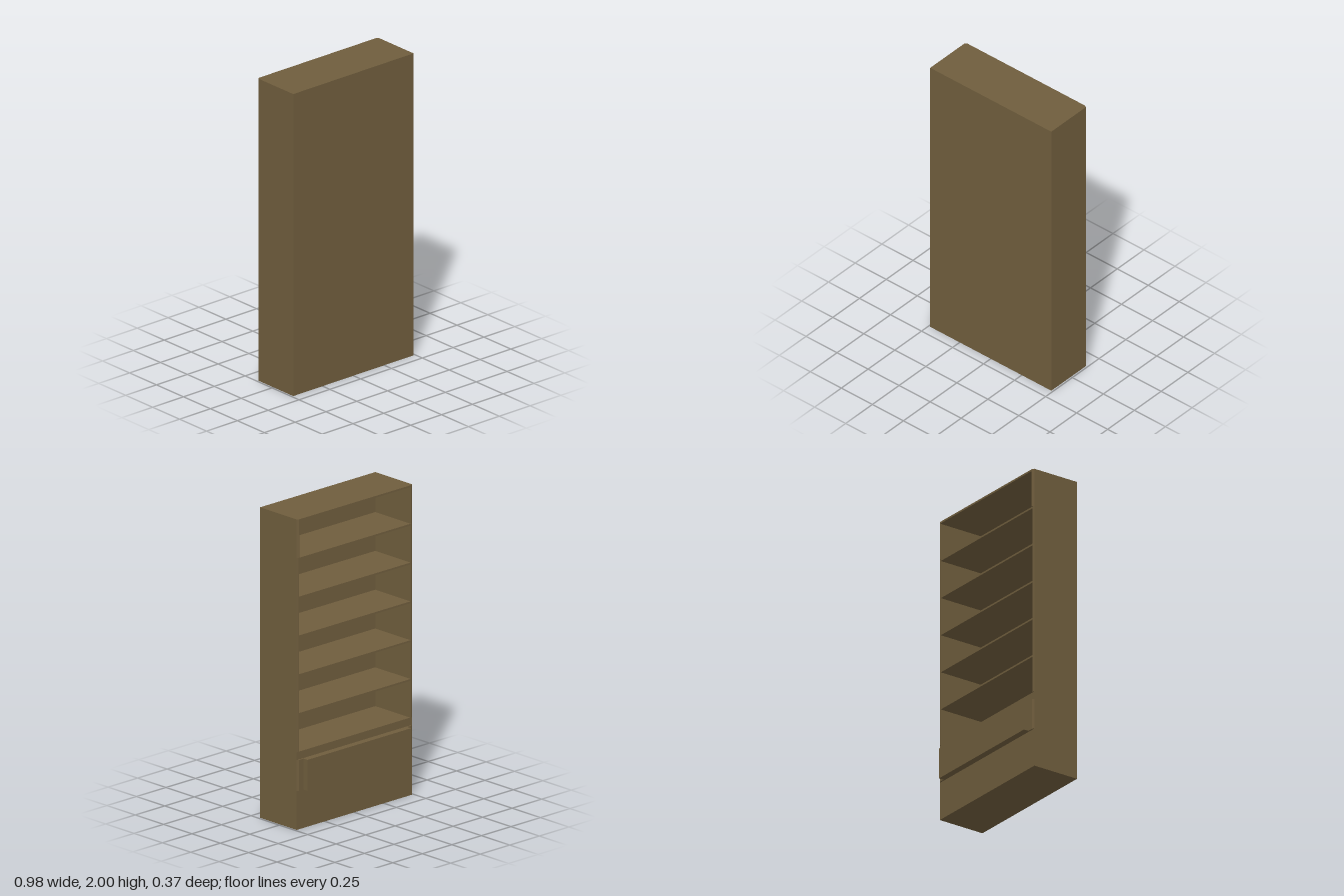
import * as THREE from 'three';

const W = 0.488, FRONT = 0.183, EDGE = -0.14, T = 0.016;

export function createModel() {
  const model = new THREE.Group();
  model.name = 'bookcase';
  const wood = new THREE.MeshStandardMaterial({ color: 0x6f5d3d });
  wood.name = 'brown wood';

  // box given by its min and max corners
  function box(name, x0, x1, y0, y1, z0, z1) {
    const mesh = new THREE.Mesh(new THREE.BoxGeometry(x1 - x0, y1 - y0, z1 - z0), wood);
    mesh.position.set((x0 + x1) / 2, (y0 + y1) / 2, (z0 + z1) / 2);
    mesh.name = name;
    model.add(mesh);
  }

  // upright prism from a plan outline of [x, z] points
  function prism(name, plan, y0, y1) {
    const shape = new THREE.Shape(plan.map(([x, z]) => new THREE.Vector2(x, -z)));
    const geo = new THREE.ExtrudeGeometry(shape, { depth: y1 - y0, bevelEnabled: false });
    geo.rotateX(-Math.PI / 2);
    const mesh = new THREE.Mesh(geo, wood);
    mesh.position.y = y0;
    mesh.name = name;
    model.add(mesh);
  }

  // closed panel and outer sides
  box('closedPanel', -W, W, 0, 2, FRONT - 0.016, FRONT);
  for (const s of [-1, 1]) {
    const xs = [s * W, s * (W - T)].sort((a, b) => a - b);
    box('sidePanel', xs[0], xs[1], 0.25, 2, EDGE, FRONT - 0.016);
  }

  // solid base, drawer housing and the ledge above it
  box('base', -W, W, 0, 0.25, EDGE, FRONT - 0.016);
  const chamfered = (z) => [
    [-W, FRONT - 0.016], [W, FRONT - 0.016], [W, EDGE], [W - 0.013, z], [-W + 0.013, z], [-W, EDGE],
  ];
  prism('drawerHousing', chamfered(-0.149), 0.25, 0.45);
  box('ledge', -W, W, 0.45, 0.5, EDGE, FRONT - 0.016);
  box('drawerFront', -0.438, 0.438, 0.25, 0.45, -0.183, -0.147);

  // open bays: each has bevelled side edges and a thin board on top
  for (let i = 0; i < 6; i++) {
    const y = 0.5 + i * 0.25;
    const top = y + 0.25;
    const z = i === 5 ? -0.149 : -0.144;
    for (const s of [-1, 1]) {
      prism('sideEdge', [[s * W, EDGE], [s * (W - 0.013), z], [s * (W - T), z], [s * (W - T), EDGE]], y, top);
    }
    prism(i === 5 ? 'topBoard' : 'shelf', chamfered(z), top - 0.012, top);
  }
  return model;
}
